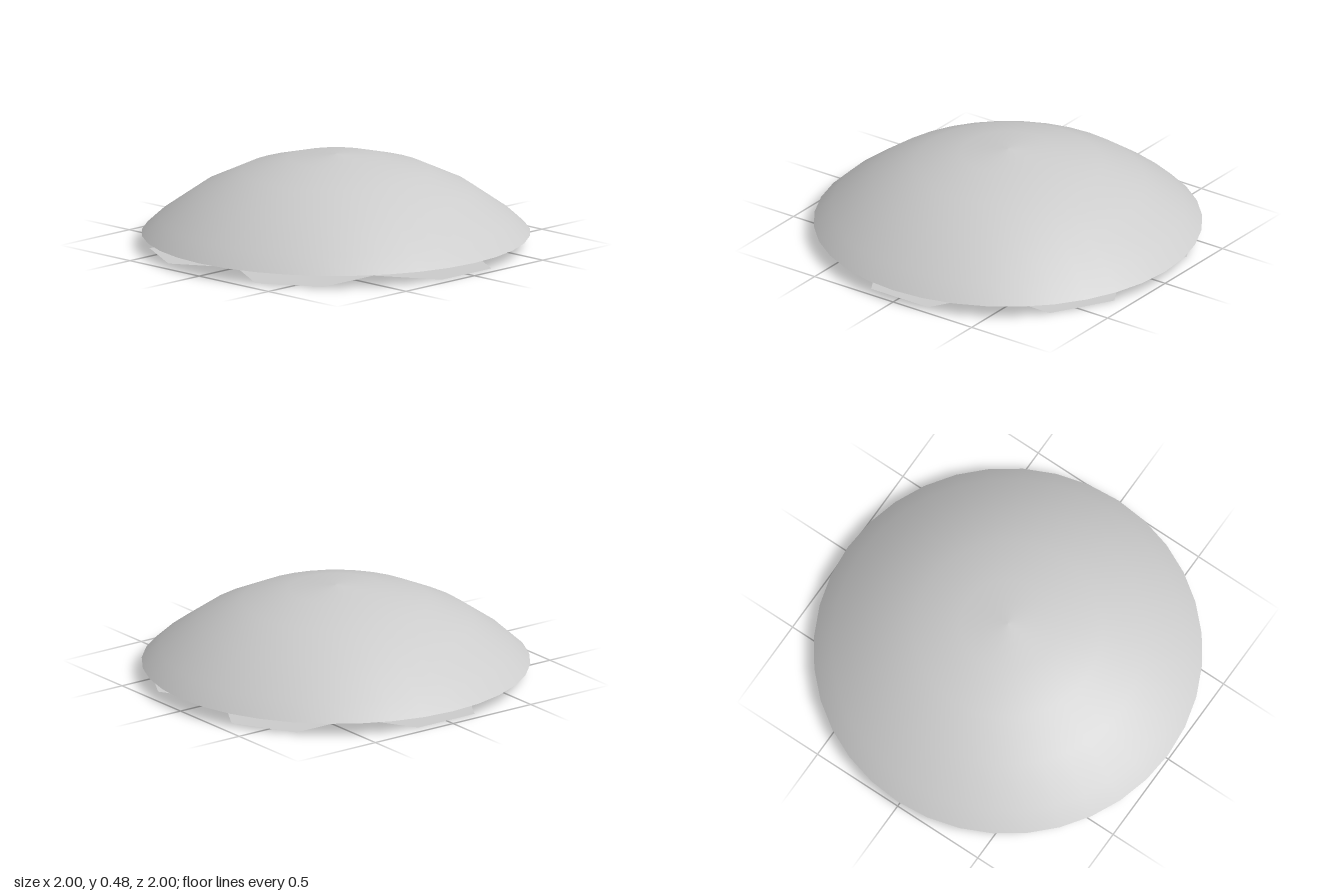
import * as THREE from 'three';

const RADIUS = Math.SQRT2; // sphere the dome is cut from
const RIM_Y = 0.067;       // height of the dome's open edge
const EDGE = 0.363;        // edge length of the star plate

export function createModel() {
  const group = new THREE.Group();
  group.name = 'domeOnStarPlate';
  const grey = new THREE.MeshStandardMaterial({ color: 0xcccccc, side: THREE.DoubleSide });
  grey.name = 'lightGrey';

  // Dome: open 45 degree spherical cap, profile from rim to apex
  const profile = [45, 40, 30, 20, 10, 0].map((deg) => {
    const a = THREE.MathUtils.degToRad(deg);
    return new THREE.Vector2(RADIUS * Math.sin(a), RIM_Y - 1 + RADIUS * Math.cos(a));
  });
  const dome = new THREE.Mesh(new THREE.LatheGeometry(profile, 36), grey);
  dome.name = 'dome';
  group.add(dome);

  // Base plate: flat six-toothed star, all edges equal
  const outer = EDGE * Math.sqrt(7);
  const half = Math.asin(EDGE / 2 / outer);
  const polar = (r, a) => new THREE.Vector2(r * Math.cos(a), r * Math.sin(a));
  const outline = [];
  for (let i = 0; i < 6; i++) {
    const a = (i * Math.PI) / 3;
    outline.push(polar(outer, a - half), polar(outer, a + half), polar(2 * EDGE, a + Math.PI / 6));
  }
  const plate = new THREE.Mesh(
    new THREE.ShapeGeometry(new THREE.Shape(outline)).rotateX(-Math.PI / 2), grey);
  plate.name = 'starPlate';
  group.add(plate);

  return group;
}
